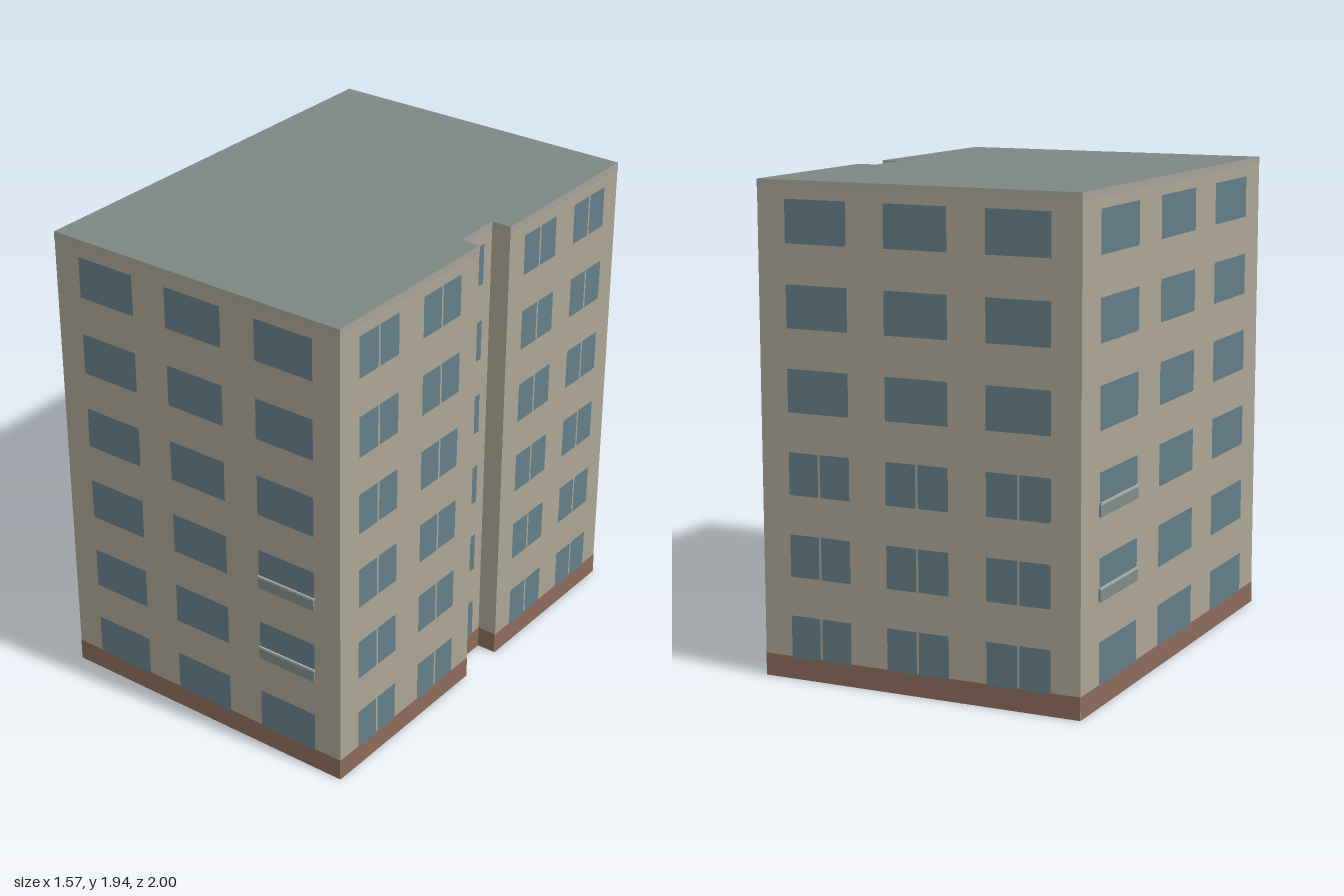
import * as THREE from 'three';

const W = 0.671, D = 0.918, H = 1.94;      // half width, half depth, height
const NX = 0.588, NF = 0.064, NB = -0.144; // recess in the right side
const FLOORS = 6, SILL = 0.086, PITCH = 0.323, WIN_H = 0.168;

const mat = (color, side = THREE.FrontSide) =>
  new THREE.MeshStandardMaterial({ color, side });

// Footprint corners (x, z), each edge facing outwards
const OUTLINE = [
  [-W, D], [W, D], [W, NF], [NX, NF], [NX, NB], [W, NB], [W, -D], [-W, -D],
];

// Window columns per footprint edge: distance along the edge, width,
// and how many floors (from the ground) have a split pane
const COLUMNS = [
  { edge: 0, at: [W - 0.42, W, W + 0.42], width: 0.263, split: 0 },
  { edge: 1, at: [0.229, 0.618], width: 0.237, split: FLOORS },
  { edge: 3, at: [0.1], width: 0.107, split: FLOORS },
  { edge: 5, at: [0.211, 0.564], width: 0.222, split: FLOORS },
  { edge: 6, at: [W - 0.42, W, W + 0.42], width: 0.263, split: 3 },
  { edge: 7, at: [D - 0.577, D, D + 0.577], width: 0.358, split: 0 },
];

export function createModel() {
  const model = new THREE.Group();
  model.name = 'apartmentBlock';
  const block = new THREE.Group();
  block.name = 'block';
  block.rotation.y = 0.132;
  model.add(block);

  const wallMat = mat(0xaca595, THREE.DoubleSide);
  const roofMat = mat(0x7d8784, THREE.DoubleSide);
  const bandMat = mat(0xa5a29a);
  const baseMat = mat(0x8c6b5b);
  const glassMat = mat(0x647e88);
  const panelMat = mat(0x7f8c8a);
  const railMat = mat(0xaeb0a8);

  const edgeLength = (i) => {
    const [ax, az] = OUTLINE[i], [bx, bz] = OUTLINE[(i + 1) % OUTLINE.length];
    return Math.hypot(bx - ax, bz - az);
  };

  // Puts a mesh on a footprint edge, facing outwards
  function place(name, geometry, material, edge, along, y, out) {
    const [ax, az] = OUTLINE[edge], [bx, bz] = OUTLINE[(edge + 1) % OUTLINE.length];
    const len = edgeLength(edge);
    const dx = (bx - ax) / len, dz = (bz - az) / len;
    const mesh = new THREE.Mesh(geometry, material);
    mesh.name = name;
    mesh.position.set(ax + dx * along - dz * out, y, az + dz * along + dx * out);
    mesh.rotation.y = Math.atan2(-dz, dx);
    block.add(mesh);
  }

  // Walls, plinth and top band along every edge
  OUTLINE.forEach((_, i) => {
    const len = edgeLength(i);
    const strip = (name, y0, y1, material, out) =>
      place(name, new THREE.PlaneGeometry(len, y1 - y0), material, i, len / 2, (y0 + y1) / 2, out);
    strip('wall', 0, H, wallMat, 0);
    strip('plinth', 0, 0.09, baseMat, 0.0015);
    strip('topBand', H - 0.03, H, bandMat, 0.0015);
  });

  // Flat roof
  const shape = new THREE.Shape(OUTLINE.map(([x, z]) => new THREE.Vector2(x, -z)));
  const roof = new THREE.Mesh(new THREE.ShapeGeometry(shape).rotateX(-Math.PI / 2), roofMat);
  roof.name = 'roof';
  roof.position.y = H;
  block.add(roof);

  // Windows, single or split in two panes
  const GAP = 0.01;
  for (const { edge, at, width, split } of COLUMNS) {
    const whole = new THREE.PlaneGeometry(width, WIN_H);
    const half = new THREE.PlaneGeometry((width - GAP) / 2, WIN_H);
    for (const s of at) {
      for (let f = 0; f < FLOORS; f++) {
        const y = SILL + f * PITCH + WIN_H / 2;
        if (f < split) {
          for (const side of [-1, 1]) {
            place('windowPane', half, glassMat, edge, s + side * (width + GAP) / 4, y, 0.003);
          }
        } else {
          place('window', whole, glassMat, edge, s, y, 0.003);
        }
      }
    }
  }

  // Balcony panels with a top rail on the first and second upper floors
  for (const [edge, along, width] of [[0, W + 0.42, 0.263], [7, D - 0.577, 0.358]]) {
    for (const f of [1, 2]) {
      const y = SILL + f * PITCH;
      place('balconyPanel', new THREE.BoxGeometry(width, 0.046, 0.008), panelMat, edge, along, y + 0.023, 0.004);
      place('balconyRail', new THREE.BoxGeometry(width, 0.009, 0.01), railMat, edge, along, y + 0.0505, 0.005);
    }
  }

  return model;
}
